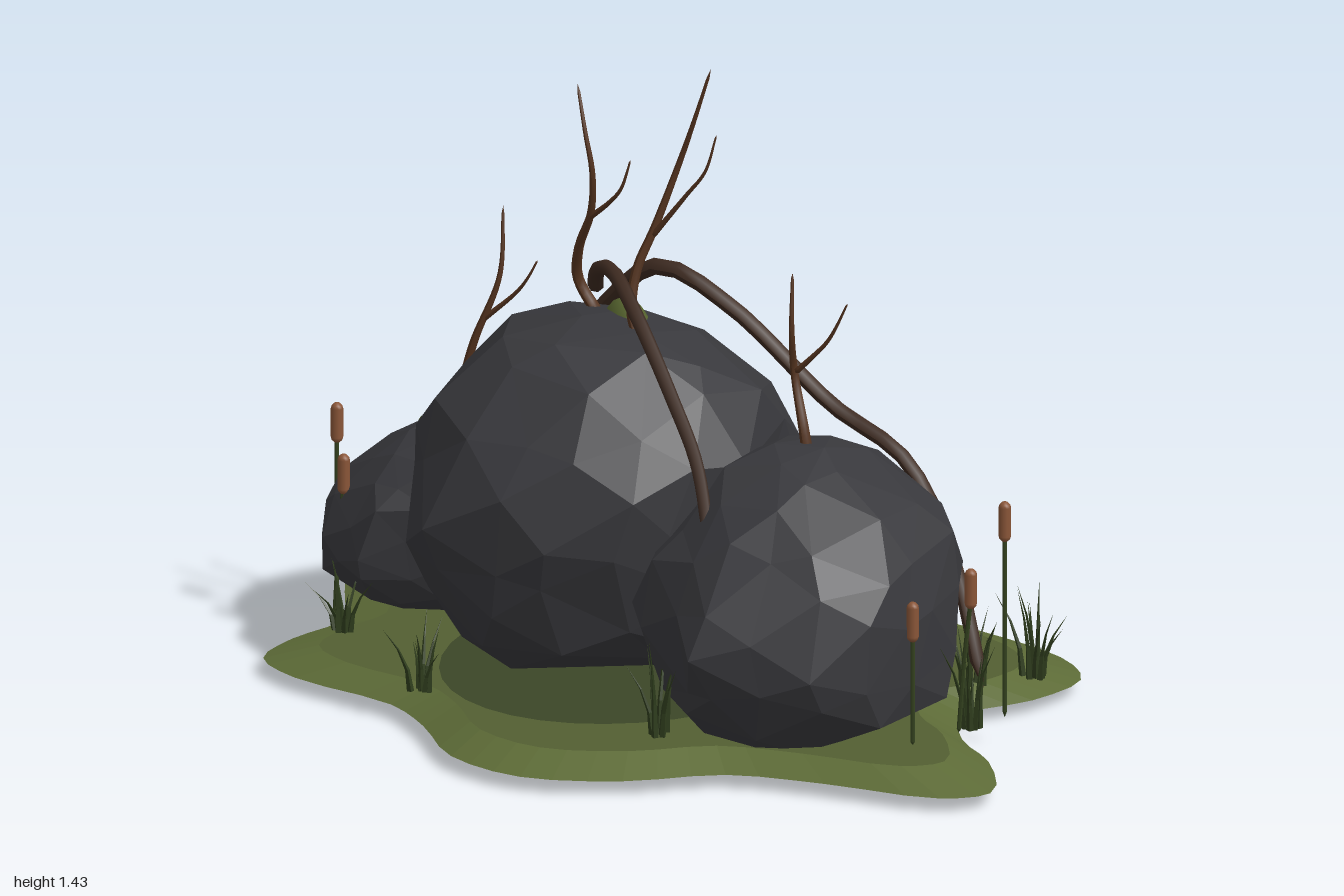
import * as THREE from 'three';

const material = (color, flat = true) => new THREE.MeshStandardMaterial({ color, flatShading: flat });
const V = (p) => new THREE.Vector3(...p);

// Small seeded generator
function seeded(seed) {
  let s = seed;
  return () => (s = (s * 16807) % 2147483647) / 2147483647;
}

export function createModel() {
  const model = new THREE.Group();
  const rockMat = material(0x38383c);
  const grassMat = material(0x5d6b37);
  const topMat = material(0x535f32);
  const darkMat = material(0x3c4627);
  const mossMat = material(0x56642f, false);
  const barkMat = material(0x55341f, false);
  const rootMat = material(0x3d2a20, false);
  const stemMat = material(0x34421f);
  const bladeMat = material(0x2f3d1d);
  const headMat = material(0x8a5638, false);

  function add(name, geometry, mat, parent = model) {
    const mesh = new THREE.Mesh(geometry, mat);
    mesh.name = name;
    parent.add(mesh);
    return mesh;
  }

  // Ground island: wavy outline, bevelled rim, flat top and underside
  const outline = [
    [-1, -.29], [-.96, -.39], [-.77, -.46], [-.4, -.475], [-.26, -.56], [-.13, -.66], [.08, -.7],
    [.35, -.67], [.62, -.62], [.74, -.52], [.73, -.35], [.66, -.19], [.75, -.05], [.88, .04],
    [1, .21], [.93, .3], [.67, .36], [.46, .43], [.3, .59], [.1, .69], [-.1, .66],
    [-.26, .53], [-.4, .45], [-.67, .42], [-.8, .35], [-.82, .21], [-.8, .05], [-.9, -.11],
  ];
  const rim = new THREE.CatmullRomCurve3(outline.map(([x, z]) => new THREE.Vector3(x, 0, z)), true)
    .getPoints(84).slice(0, 84);
  const n = rim.length;
  function ringSurface(rings, faces) {
    const g = new THREE.BufferGeometry();
    const pos = rings.flatMap(([scale, y]) => rim.flatMap((p) => [p.x * scale, y, p.z * scale]));
    const index = [];
    for (let i = 0; i < n; i++) index.push(...faces(i, (i + 1) % n));
    g.setAttribute('position', new THREE.Float32BufferAttribute(pos, 3));
    g.setIndex(index);
    g.computeVertexNormals();
    return g;
  }
  add('groundRim', ringSurface([[1, .035], [.86, .072]], (i, j) => [i, n + i, j, n + i, n + j, j]), grassMat);
  add('groundTop', ringSurface([[.86, .072], [0, .072]], (i, j) => [n + i, j, i]), topMat);
  add('groundUnderside', ringSurface([[1, .035], [0, .035]], (i, j) => [n + i, i, j]), grassMat);
  const patch = add('dampGround', new THREE.CircleGeometry(1, 36), darkMat);
  patch.rotation.x = -Math.PI / 2;
  patch.scale.set(.4, .49, 1);
  patch.position.set(-.08, .075, -.03);

  // Boulders: a faceted ball fitted to level sections [y, xMin, xMax, zMin, zMax], corners shifted at random
  function boulder(name, sections, power, seed) {
    const g = new THREE.IcosahedronGeometry(1, 2);
    const pos = g.attributes.position;
    const rand = seeded(seed);
    const shifts = new Map();
    const d = new THREE.Vector3();
    const low = sections[0][0], high = sections[sections.length - 1][0];
    for (let i = 0; i < pos.count; i++) {
      d.fromBufferAttribute(pos, i);
      const key = d.toArray().map((v) => Math.round(v * 100)).join();
      if (!shifts.has(key)) shifts.set(key, [rand(), rand(), rand(), rand()].map((r) => r - .5));
      const [sx, sy, sz, swell] = shifts.get(key);
      d.x += sx * .2;
      d.y += sy * .2;
      d.z += sz * .2;
      d.normalize();
      const y = low + (high - low) * (d.y * .5 + .5);
      const k = Math.max(1, sections.findIndex((s) => s[0] >= y));
      const a = sections[k - 1], b = sections[k];
      const t = (y - a[0]) / (b[0] - a[0]);
      const [x0, x1, z0, z1] = [1, 2, 3, 4].map((c) => a[c] + (b[c] - a[c]) * t);
      const around = Math.hypot(d.x, d.z) || 1;
      const cx = d.x / around, cz = d.z / around;
      const out = (Math.abs(cx) ** power + Math.abs(cz) ** power) ** (-1 / power) * (1 + swell * .12);
      pos.setXYZ(i, (x0 + x1) / 2 + cx * out * (x1 - x0) / 2, y, (z0 + z1) / 2 + cz * out * (z1 - z0) / 2);
    }
    g.computeVertexNormals();
    add(name, g, rockMat);
  }
  boulder('mainBoulder', [
    [.08, -.3, 0, -.14, .15], [.105, -.44, .1, -.3, .32], [.22, -.5, .18, -.375, .375], [.36, -.555, .22, -.44, .43],
    [.46, -.575, .235, -.435, .445], [.58, -.55, .24, -.425, .4], [.71, -.485, .19, -.34, .325],
    [.8, -.39, .08, -.21, .2], [.85, -.17, -.07, -.05, .05],
  ], 2.06, 11);
  boulder('leftBoulder', [
    [.015, .36, .5, .18, .26], [.07, .28, .6, .05, .35], [.12, .13, .725, -.2, .38], [.28, .08, .75, -.28, .465],
    [.42, .11, .735, -.3, .4], [.53, .18, .645, -.26, .325], [.62, .24, .51, -.17, .21], [.665, .35, .4, -.03, .04],
  ], 2.12, 29);
  boulder('rightBoulder', [
    [.08, -.7, -.55, -.16, 0], [.105, -.81, -.46, -.3, .12], [.16, -.86, -.41, -.35, .17], [.24, -.885, -.38, -.385, .2],
    [.36, -.845, -.38, -.35, .17], [.45, -.74, -.41, -.25, .09], [.515, -.6, -.5, -.1, -.03],
  ], 2.15, 53);

  // Tapered limb along a smooth path, closed at both ends
  function limb(name, points, r0, r1, mat, parent = model) {
    const curve = new THREE.CatmullRomCurve3(points.map(V));
    const seg = 32, sides = 7;
    const g = new THREE.TubeGeometry(curve, seg, 1, sides, false);
    const pos = g.attributes.position;
    const p = new THREE.Vector3();
    for (let i = 0; i <= seg; i++) {
      const c = curve.getPointAt(i / seg);
      const r = i === 0 || i === seg ? 0 : r0 + (r1 - r0) * i / seg;
      for (let j = 0; j <= sides; j++) {
        const k = i * (sides + 1) + j;
        p.fromBufferAttribute(pos, k).sub(c).multiplyScalar(r).add(c);
        pos.setXYZ(k, p.x, p.y, p.z);
      }
    }
    g.computeVertexNormals();
    return add(name, g, mat, parent);
  }

  // Thick roots draped over the boulders
  limb('backRoot', [[-.66, .42, -.28], [-.42, .67, -.3], [-.18, .875, -.26], [0, .81, -.275], [.24, .63, -.3],
    [.44, .54, -.295], [.56, .34, -.295], [.67, .08, -.25]], .02, .016, rootMat);
  limb('frontRoot', [[-.28, .83, -.16], [-.22, .91, -.08], [-.125, .945, 0], [-.02, .89, .07],
    [.12, .75, .14], [.22, .63, .19], [.295, .5, .255]], .018, .014, rootMat);

  // Bare forked twigs: main stem plus one side shoot
  const twigs = [
    [[[-.22, .8, -.09], [-.27, .88, -.08], [-.25, .96, -.05], [-.19, 1.07, -.01], [-.17, 1.17, .015], [-.185, 1.26, .02], [-.215, 1.36, .005]],
      [[-.2, 1.05, -.015], [-.14, 1.1, -.005], [-.105, 1.14, 0], [-.08, 1.21, 0]]],
    [[[-.03, .78, .02], [-.07, .87, .01], [-.07, .96, -.01], [-.045, 1.05, -.04], [0, 1.2, -.07], [.04, 1.3, -.065], [.085, 1.43, -.065]],
      [[-.05, 1.03, -.035], [.035, 1.14, -.045], [.08, 1.2, -.05], [.11, 1.29, -.05]]],
    [[[.38, .6, -.01], [.365, .68, -.01], [.33, .8, -.025], [.34, .9, 0], [.335, 1.03, -.01]],
      [[.335, .8, -.02], [.41, .88, -.03], [.435, .92, -.03], [.465, .98, -.03]]],
    [[[-.61, .44, -.06], [-.57, .55, -.06], [-.53, .69, -.06], [-.475, .85, -.08], [-.48, 1, -.1]],
      [[-.515, .74, -.065], [-.43, .82, -.08], [-.4, .86, -.08], [-.38, .9, -.085]]],
  ];
  twigs.forEach(([stem, shoot], i) => {
    const twig = new THREE.Group();
    twig.name = 'twig' + (i + 1);
    model.add(twig);
    limb('twigStem', stem, .014, .003, barkMat, twig);
    limb('twigShoot', shoot, .007, .002, barkMat, twig);
  });

  // Moss pads: flattened ellipsoids on edge
  [
    ['mossPadBack', [.095, .128, -.395], [.12, .125, .05], [0, -.75, 0]],
    ['mossPadSummit', [-.14, .775, -.075], [.09, .085, .05], [0, -.6, 0]],
    ['mossPadSide', [-.63, .445, -.085], [.066, .066, .036], [0, .1, 0]],
  ].forEach(([name, at, size, turn]) => {
    const pad = add(name, new THREE.SphereGeometry(1, 16, 10), mossMat);
    pad.position.set(...at);
    pad.scale.set(...size);
    pad.rotation.set(...turn);
  });

  // Cattails: foot x, z, then head x, z and head bottom height
  [
    [-.825, .03, -.825, .03, .43], [-.77, .12, -.76, .1, .345], [.74, .125, .74, .125, .305],
    [.8, -.14, .8, -.14, .47], [.775, 0, .81, .005, .36],
  ].forEach(([fx, fz, hx, hz, y]) => {
    const cattail = new THREE.Group();
    cattail.name = 'cattail';
    model.add(cattail);
    limb('cattailStem', [[fx, .07, fz], [(fx + hx) / 2, .25, (fz + hz) / 2], [hx, y + .02, hz]], .005, .005, stemMat, cattail);
    const head = add('cattailHead', new THREE.CapsuleGeometry(.0135, .065, 3, 10), headMat, cattail);
    head.position.set(hx, y + .046, hz);
  });

  // Grass clumps: x, z, blade height, blade count
  const rand = seeded(77);
  [
    [-.23, -.58, .2, 10], [.7, -.4, .2, 10], [-.34, .42, .15, 8], [.78, -.04, .22, 9], [-.7, .19, .16, 7],
    [-.6, -.38, .18, 7], [.25, .38, .22, 7], [-.02, -.45, .18, 7], [.62, -.28, .16, 6],
  ].forEach(([x, z, height, count]) => {
    const clump = new THREE.Group();
    clump.name = 'grassClump';
    clump.position.set(x, .07, z);
    model.add(clump);
    for (let i = 0; i < count; i++) {
      const h = height * (.6 + .5 * rand());
      const g = new THREE.ConeGeometry(.008, h, 4, 3);
      const pos = g.attributes.position;
      const root = .03 * rand(), lean = .01 + .07 * rand();
      // Each blade curves outwards towards its tip
      for (let k = 0; k < pos.count; k++) {
        const t = pos.getY(k) / h + .5;
        pos.setXYZ(k, pos.getX(k) + root + lean * t * t, t * h, pos.getZ(k));
      }
      g.computeVertexNormals();
      add('grassBlade', g, bladeMat, clump).rotation.y = (i + rand()) / count * Math.PI * 2;
    }
  });

  return model;
}
